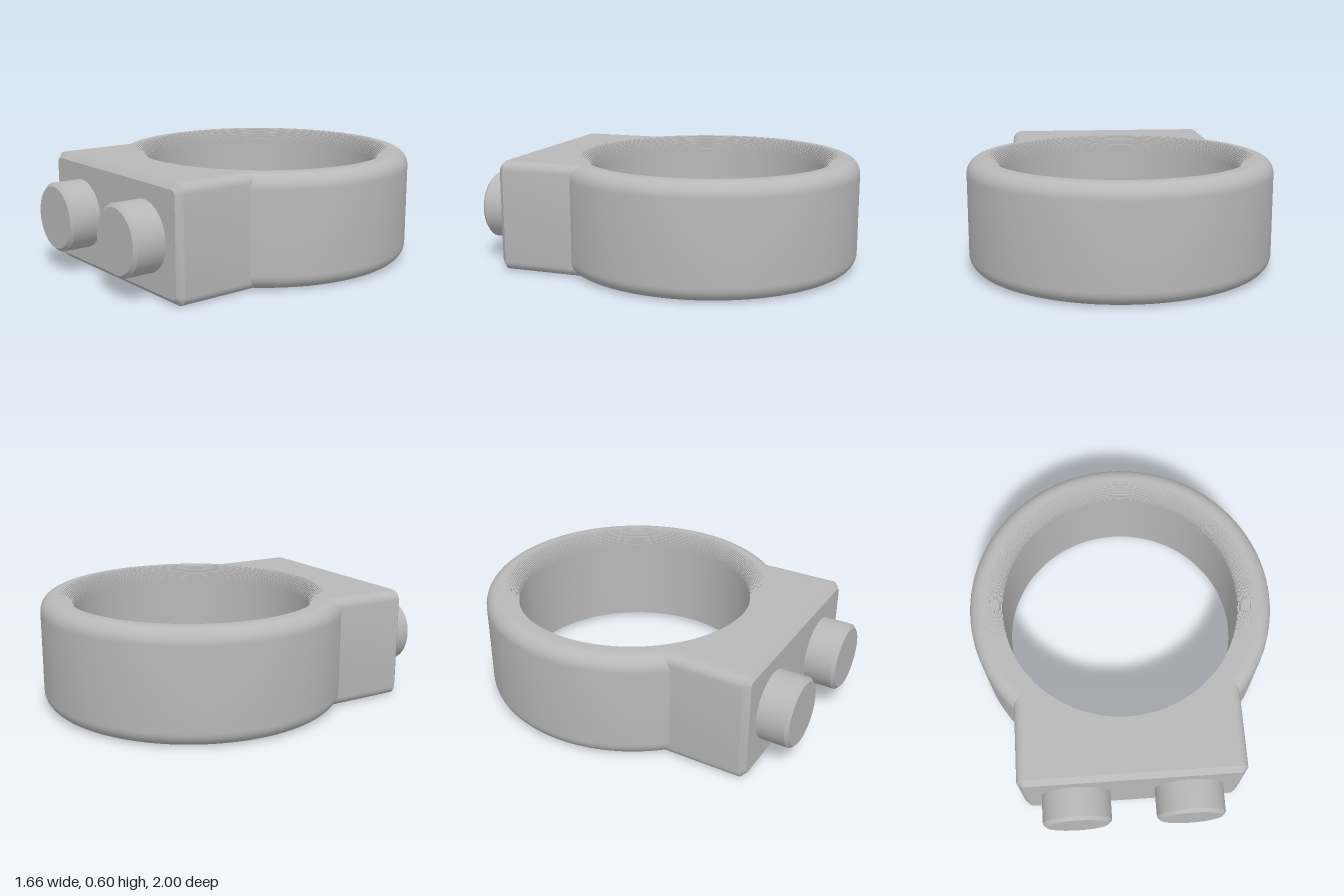
import * as THREE from 'three';
import { toCreasedNormals } from 'three/addons/utils/BufferGeometryUtils.js';

const CREASE = 0.5;
const HEIGHT = 0.6;
const RING_Z = -0.17;

// Band: rounded outer edges, finely stepped rounding on the inner edges
function ringGeometry() {
  const outer = 0.83, inner = 0.65, round = 0.08, steps = 14;
  const upper = [];
  for (let i = 0; i <= 10; i++) {
    const a = (i / 10) * Math.PI / 2;
    upper.push([outer - round + round * Math.cos(a), HEIGHT - round + round * Math.sin(a)]);
  }
  let y = HEIGHT;
  for (let i = 0; i <= steps; i++) {
    const a = (i / steps) * Math.PI / 2;
    const r = inner + round - round * Math.sin(a);
    upper.push([r, y]);
    y = HEIGHT - round + round * Math.cos(Math.min(a + Math.PI / 2 / steps, Math.PI / 2));
    if (i < steps) upper.push([r, y]);
  }
  const lower = upper.map(([r, h]) => [r, HEIGHT - h]).reverse();
  const profile = [...upper, ...lower, upper[0]].map(([r, h]) => new THREE.Vector2(r, h));
  return toCreasedNormals(new THREE.LatheGeometry(profile, 128), CREASE);
}

// Rounded rectangle outline, counter-clockwise, with subdivided long edges
function outline(halfW, halfH, radius) {
  const pts = [];
  const corners = [[1, 1], [-1, 1], [-1, -1], [1, -1]];
  corners.forEach(([sx, sy], c) => {
    for (let i = 0; i <= 6; i++) {
      const a = (c + i / 6) * Math.PI / 2;
      pts.push([sx * (halfW - radius) + radius * Math.cos(a), sy * (halfH - radius) + radius * Math.sin(a)]);
    }
    if (c % 2 === 0) {
      for (let i = 1; i < 24; i++) pts.push([sx * (halfW - radius) * (1 - i / 12), sy * halfH]);
    }
  });
  return pts;
}

// Block: its back follows the band, its front has a chamfered rim
function blockGeometry() {
  const mid = HEIGHT / 2, front = 0.83, chamfer = 0.03, seat = 0.74;
  const body = outline(0.6, mid, 0.05);
  const face = outline(0.6 - chamfer, mid - chamfer, 0.03);
  const loops = [
    body.map(([x, y]) => [x, y + mid, RING_Z + Math.sqrt(seat * seat - x * x)]),
    body.map(([x, y]) => [x, y + mid, front - chamfer]),
    face.map(([x, y]) => [x, y + mid, front]),
    face.map(() => [0, mid, front]),
  ];
  const n = body.length, index = [];
  for (let k = 0; k < loops.length - 1; k++) {
    for (let i = 0; i < n; i++) {
      const a = k * n + i, b = k * n + (i + 1) % n;
      index.push(a, b, b + n);
      if (k < loops.length - 2) index.push(a, b + n, a + n);
    }
  }
  const g = new THREE.BufferGeometry();
  g.setAttribute('position', new THREE.Float32BufferAttribute(loops.flat(2), 3));
  g.setIndex(index);
  return toCreasedNormals(g, CREASE);
}

// Button: short cylinder with a chamfered front edge
function buttonGeometry() {
  const profile = [[0.185, 0], [0.185, 0.182], [0.167, 0.2], [0, 0.2]]
    .map(([r, h]) => new THREE.Vector2(r, h));
  return toCreasedNormals(new THREE.LatheGeometry(profile, 64).rotateX(Math.PI / 2), CREASE);
}

export function createModel() {
  const model = new THREE.Group();
  const grey = new THREE.MeshStandardMaterial({ color: 0xb8b8b8 });
  grey.name = 'grey';

  const add = (name, geometry, x, y, z) => {
    const mesh = new THREE.Mesh(geometry, grey);
    mesh.name = name;
    mesh.position.set(x, y, z);
    model.add(mesh);
  };

  add('ring', ringGeometry(), 0, 0, RING_Z);
  add('block', blockGeometry(), 0, 0, 0);
  const button = buttonGeometry();
  add('leftButton', button, 0.305, HEIGHT / 2, 0.8);
  add('rightButton', button, -0.305, HEIGHT / 2, 0.8);
  return model;
}
